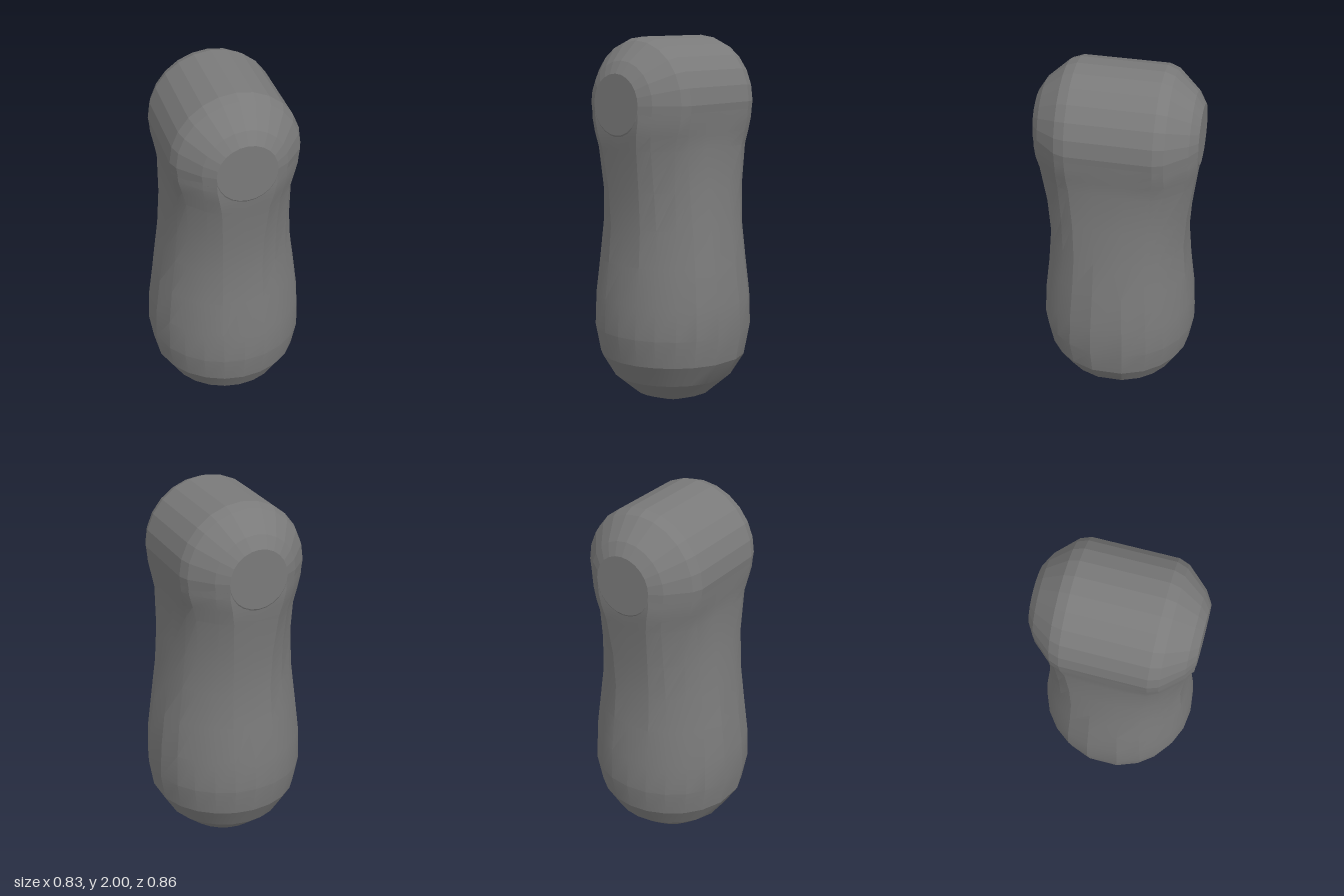
import * as THREE from 'three';
import { toCreasedNormals } from 'three/addons/utils/BufferGeometryUtils.js';

const HEAD_Y = 1.655, HEAD_R = 0.345, HEAD_Z = 0.43;
// rounded end of the crossbar: [radius, z]
const END = [[0.16, 0.43], [0.225, 0.39], [0.325, 0.28], [HEAD_R, 0.225]];

// one quarter of the chamfered section (matches the crossbar) and of a round one, front to side
const CHAMFERED = [[0, HEAD_Z], ...END, [HEAD_R, 0.08]].map(([x, z]) => [x / HEAD_R, z / HEAD_Z]);
const ROUND = [0, 15, 30, 45, 60, 78].map((d) => {
  const a = THREE.MathUtils.degToRad(d);
  return [Math.sin(a), Math.cos(a)];
});

// [y, half width, half depth, blend from round to chamfered]
const RINGS = [
  [0, 0.07, 0.07, 0], [0.05, 0.21, 0.21, 0], [0.15, 0.325, 0.33, 0],
  [0.27, 0.4, 0.4, 0], [0.42, 0.425, 0.427, 0.05], [0.6, 0.417, 0.417, 0.1],
  [0.8, 0.391, 0.392, 0.15], [1.0, 0.362, 0.376, 0.2], [1.2, 0.338, 0.387, 0.35],
  [1.42, 0.322, 0.414, 0.65], [1.5, 0.328, 0.427, 0.85], [1.57, 0.336, 0.428, 1],
  [HEAD_Y, 0.343, 0.428, 1],
];

function ringPoints([y, hx, hz, t]) {
  const quarter = ROUND.map(([x, z], i) => [
    hx * THREE.MathUtils.lerp(x, CHAMFERED[i][0], t),
    hz * THREE.MathUtils.lerp(z, CHAMFERED[i][1], t),
  ]);
  const right = [...quarter, ...quarter.map(([x, z]) => [x, -z]).reverse()];
  const left = right.slice(1, -1).map(([x, z]) => [-x, z]).reverse();
  return [...right, ...left].map(([x, z]) => [x, y, z]);
}

function loft(rings) {
  const n = rings[0].length, index = [];
  const positions = rings.flat(2);
  for (let i = 0; i < rings.length - 1; i++) {
    for (let j = 0; j < n; j++) {
      const a = i * n + j, b = i * n + (j + 1) % n;
      index.push(a, b, b + n, a, b + n, a + n);
    }
  }
  // close the underside
  const centre = positions.length / 3;
  positions.push(0, rings[0][0][1], 0);
  for (let j = 0; j < n; j++) index.push(centre, (j + 1) % n, j);
  const geo = new THREE.BufferGeometry();
  geo.setAttribute('position', new THREE.Float32BufferAttribute(positions, 3));
  geo.setIndex(index);
  // soften the gentle bends, keep the stronger facets
  return toCreasedNormals(geo, 0.3);
}

export function createModel() {
  const group = new THREE.Group();
  group.name = 'limbSegment';
  const color = 0x7a7a7a;

  // waisted shaft with a rounded lower end
  const shaft = new THREE.Mesh(loft(RINGS.map(ringPoints)), new THREE.MeshStandardMaterial({ color }));
  shaft.name = 'shaft';
  group.add(shaft);

  // front-to-back crossbar with bevelled, flat ends
  const profile = [
    [0, -HEAD_Z], ...END.map(([r, z]) => [r, -z]),
    ...[...END].reverse(), [0, HEAD_Z],
  ].map(([r, z]) => new THREE.Vector2(r, z));
  const headGeo = new THREE.LatheGeometry(profile, 24);
  headGeo.rotateX(Math.PI / 2);
  const head = new THREE.Mesh(headGeo, new THREE.MeshStandardMaterial({ color, flatShading: true }));
  head.name = 'jointHead';
  head.position.y = HEAD_Y;
  group.add(head);

  return group;
}
